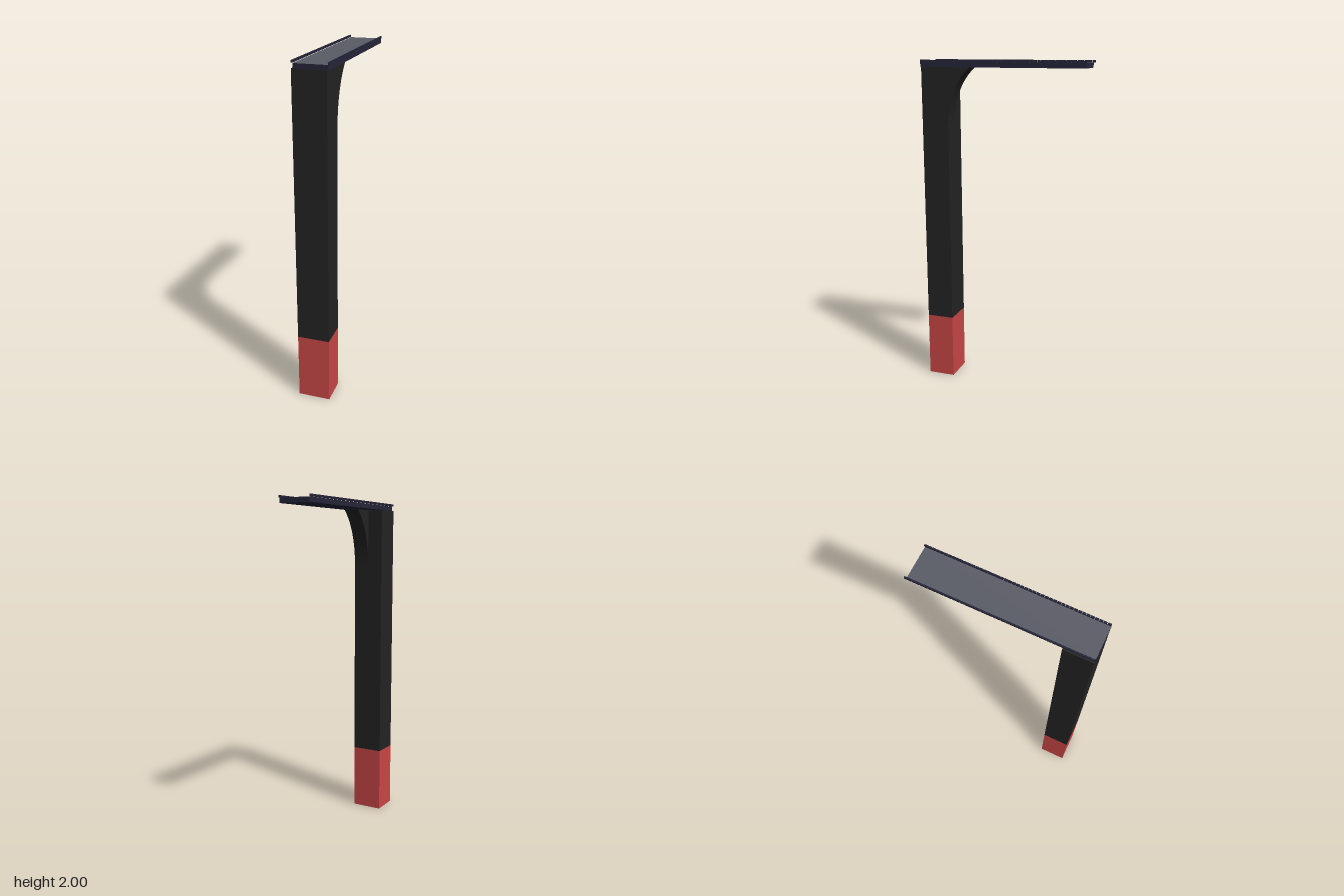
import * as THREE from 'three';

const paint = (name, color, side = THREE.FrontSide) => {
  const m = new THREE.MeshStandardMaterial({ color, side });
  m.name = name;
  return m;
};

export function createModel() {
  const root = new THREE.Group();
  root.name = 'cantileverWalkway';

  const charcoal = paint('charcoal', 0x232323);
  const red = paint('red', 0xc94646);
  const navy = paint('navy', 0x25253a);
  const grey = paint('grey', 0x5a5c66);

  const add = (name, geometry, material, x, y, z, parent = root) => {
    const mesh = new THREE.Mesh(geometry, material);
    mesh.name = name;
    mesh.position.set(x, y, z);
    parent.add(mesh);
    return mesh;
  };

  // Square pillar: red foot and dark shaft
  const width = 0.19, depth = 0.165, px = -0.005, pz = 0.4175;
  add('pillarFoot', new THREE.BoxGeometry(width, 0.4, depth), red, px, 0.2, pz);
  add('pillarShaft', new THREE.BoxGeometry(width, 1.56, depth), charcoal, px, 1.18, pz);

  // Curved bracket under the deck, on the left half of the pillar.
  // Profile is drawn in (-z, y) and extruded along +x.
  const profile = new THREE.Shape();
  profile.moveTo(-0.335, 1.6);
  profile.quadraticCurveTo(-0.335, 1.84, -0.195, 1.96);
  profile.lineTo(-0.335, 1.96);
  profile.closePath();
  const bracket = new THREE.ExtrudeGeometry(profile, { depth: 0.095, bevelEnabled: false, curveSegments: 20 });
  bracket.rotateY(Math.PI / 2);
  add('bracket', bracket, charcoal, -0.005, 0, 0);

  // Deck slab with a grey top face
  add('deck', new THREE.BoxGeometry(0.19, 0.028, 0.99),
    [navy, navy, grey, navy, navy, navy], 0.005, 1.973, 0.005);

  // Fine rails made of short links along both long edges
  const count = 46, pitch = 0.995 / count;
  const link = new THREE.BoxGeometry(0.008, 0.013, pitch * 0.85);
  for (const side of [-1, 1]) {
    const rail = new THREE.Group();
    rail.name = side > 0 ? 'leftRail' : 'rightRail';
    rail.position.set(side * 0.099, 1.9935, side * 0.0025);
    for (let i = 0; i < count; i++) {
      add('railLink', link, navy, 0, 0, (i - (count - 1) / 2) * pitch, rail);
    }
    root.add(rail);
  }
  return root;
}
